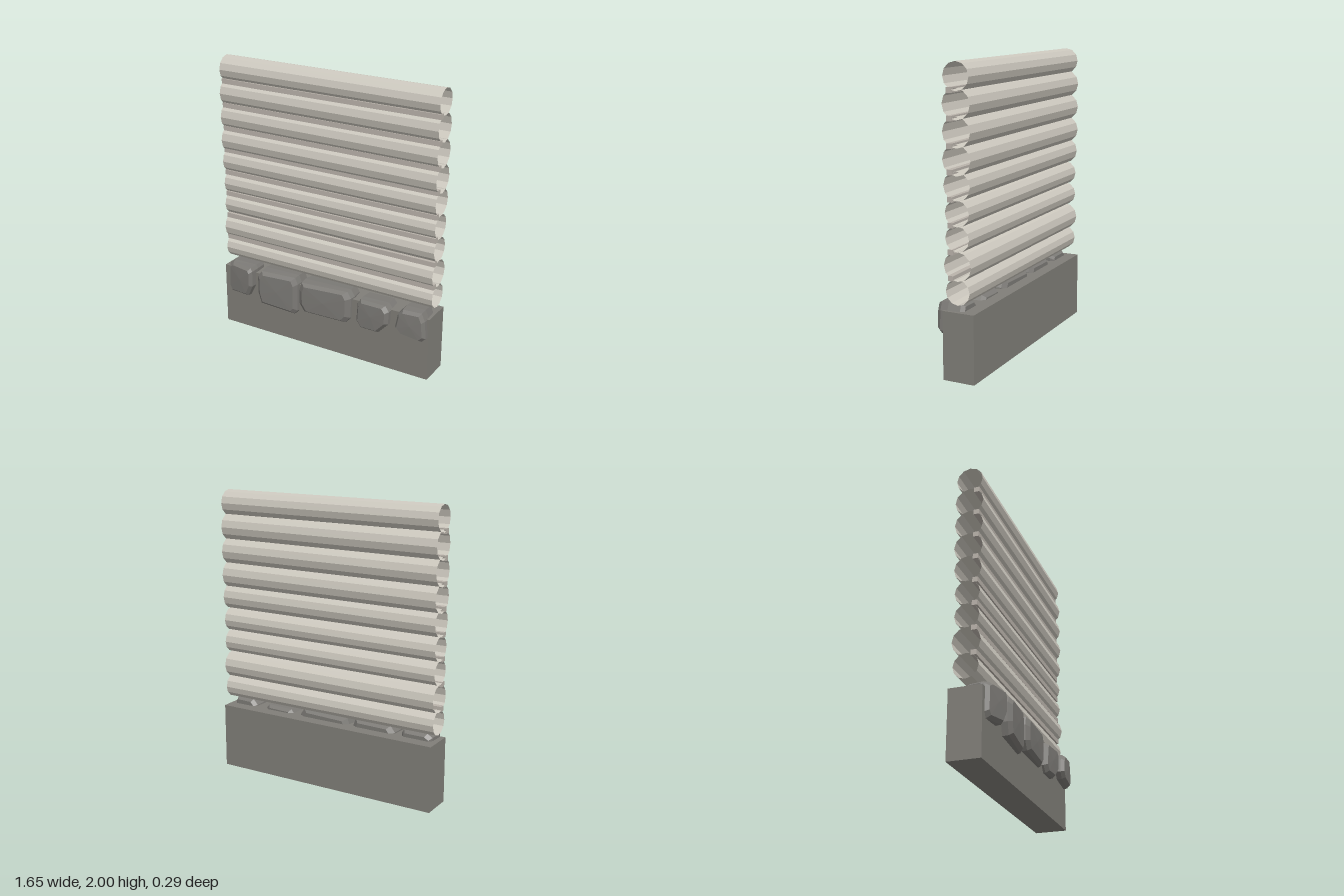
import * as THREE from 'three';

const WIDTH = 1.65;

// Rounded stone: outline (clockwise seen from the front) swept through scaled sections in z
function stoneGeometry(outline, leftZ, rightZ) {
  const n = outline.length;
  const xs = outline.map(p => p[0]);
  const minX = Math.min(...xs), maxX = Math.max(...xs);
  const cx = outline.reduce((s, p) => s + p[0], 0) / n;
  const cy = outline.reduce((s, p) => s + p[1], 0) / n;
  const front = x => THREE.MathUtils.lerp(leftZ, rightZ, (x - minX) / (maxX - minX));
  const sections = [
    [0.78, () => -0.06],
    [0.95, () => -0.035],
    [1, () => 0.05],
    [0.96, x => front(x) - 0.025],
    [0.8, x => front(x)],
  ];
  const pos = [], index = [];
  for (const [s, z] of sections) {
    for (const [px, py] of outline) {
      const x = cx + (px - cx) * s;
      pos.push(x, cy + (py - cy) * s, z(x));
    }
  }
  const last = (sections.length - 1) * n, back = sections.length * n;
  pos.push(cx, cy, -0.06, cx, cy, front(cx) + 0.004);
  for (let i = 0; i < n; i++) {
    const j = (i + 1) % n;
    for (let r = 0; r < last; r += n) {
      index.push(r + i, r + n + i, r + j, r + j, r + n + i, r + n + j);
    }
    index.push(back, i, j, back + 1, last + j, last + i);
  }
  const g = new THREE.BufferGeometry();
  g.setAttribute('position', new THREE.Float32BufferAttribute(pos, 3));
  g.setIndex(index);
  const flat = g.toNonIndexed();
  flat.computeVertexNormals();
  return flat;
}

export function createModel() {
  const group = new THREE.Group();
  const material = (name, color, extra = {}) => {
    const m = new THREE.MeshStandardMaterial({ color, ...extra });
    m.name = name;
    return m;
  };
  const logMat = material('pale log', 0xccc8be, { flatShading: true, side: THREE.DoubleSide });
  const chinkMat = material('chinking', 0xbab3ab);
  const baseMat = material('foundation grey', 0x807e78);
  const stoneMat = material('stone grey', 0x7c7a76, { flatShading: true });

  const add = (name, geometry, mat, x = 0, y = 0, z = 0) => {
    const mesh = new THREE.Mesh(geometry, mat);
    mesh.name = name;
    mesh.position.set(x, y, z);
    group.add(mesh);
    return mesh;
  };

  // Foundation block
  add('foundation', new THREE.BoxGeometry(WIDTH, 0.455, 0.22), baseMat, 0, 0.2275, -0.035);

  // Stacked hollow logs: [centre height, radius]
  const logs = [
    [0.587, 0.084], [0.75, 0.095], [0.923, 0.083], [1.082, 0.084], [1.25, 0.092],
    [1.408, 0.097], [1.576, 0.096], [1.745, 0.096], [1.911, 0.089],
  ];
  logs.forEach(([y, r], i) => {
    const g = new THREE.CylinderGeometry(r, r, WIDTH, 12, 1, true);
    g.rotateZ(Math.PI / 2);
    add('log' + (i + 1), g, logMat, 0, y, -0.035);
  });

  // Filler strips in the front joints
  [0.67, 0.836, 1.004, 1.165, 1.332, 1.492, 1.658, 1.828].forEach((y, i) => {
    add('fillerStrip' + (i + 1), new THREE.BoxGeometry(WIDTH, 0.034, 0.036), chinkMat, 0, y, 0.014);
  });

  // Facing stones: outline, front depth at left and right
  const stones = [
    [[[-.79, .48], [-.75, .505], [-.57, .505], [-.555, .48], [-.555, .36], [-.6, .27], [-.77, .255], [-.795, .29]], 0.095, 0.143],
    [[[-.515, .465], [-.48, .51], [-.2, .515], [-.18, .465], [-.185, .25], [-.21, .22], [-.49, .245], [-.515, .33]], 0.143, 0.118],
    [[[-.17, .44], [-.15, .5], [.22, .512], [.25, .465], [.245, .31], [.205, .265], [-.13, .27], [-.17, .33]], 0.137, 0.112],
    [[[.29, .45], [.315, .485], [.515, .49], [.545, .45], [.54, .35], [.46, .265], [.315, .262], [.28, .31]], 0.113, 0.127],
    [[[.61, .465], [.645, .505], [.785, .508], [.81, .45], [.82, .32], [.79, .29], [.63, .315], [.59, .36]], 0.138, 0.125],
  ];
  stones.forEach(([outline, l, r], i) => add('stone' + (i + 1), stoneGeometry(outline, l, r), stoneMat));

  return group;
}
